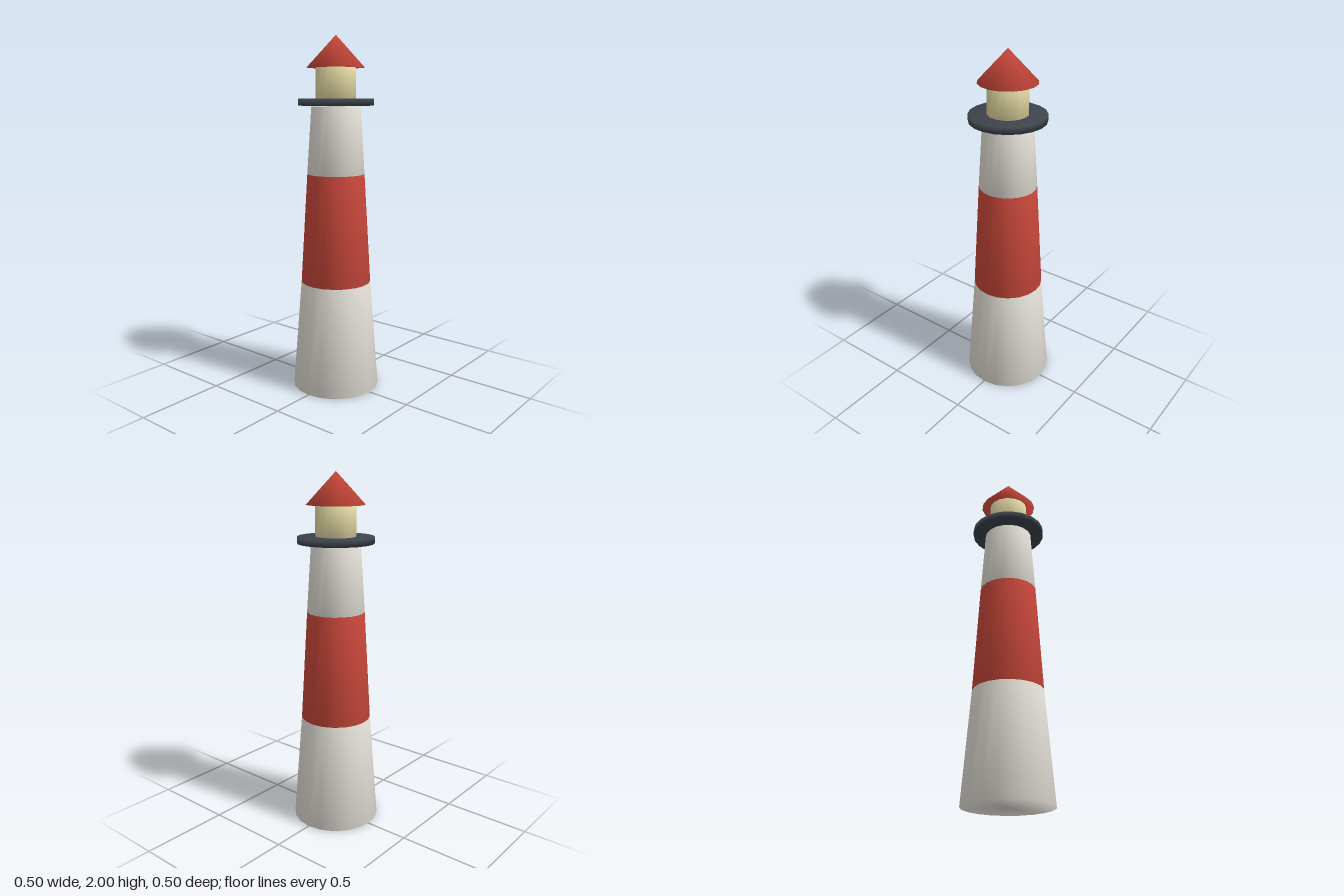
import * as THREE from 'three';
import { mergeVertices } from 'three/addons/utils/BufferGeometryUtils.js';

const material = (name, color) => {
  const m = new THREE.MeshStandardMaterial({ color });
  m.name = name;
  return m;
};

// Capped tapered drum with normals blended over its rims for a soft look
function softDrum(bottomRadius, topRadius, height, sides) {
  const geometry = new THREE.CylinderGeometry(topRadius, bottomRadius, height, sides);
  geometry.deleteAttribute('normal');
  geometry.deleteAttribute('uv');
  const welded = mergeVertices(geometry, 1e-4);
  welded.computeVertexNormals();
  return welded;
}

export function createModel() {
  const group = new THREE.Group();
  group.name = 'lighthouse';

  const white = material('warm white', 0xe4e0d8);
  const red = material('red', 0xc8473a);
  const dark = material('dark slate', 0x3d444b);
  const glow = material('pale yellow', 0xe3d9a3);

  // name, bottom y, top y, bottom radius, top radius, sides, material
  const parts = [
    ['towerBase', 0, 2.5, 1, 0.8, 20, white],
    ['towerStripe', 2.5, 5, 0.8, 0.65, 20, red],
    ['towerTop', 5, 6.5, 0.65, 0.55, 20, white],
    ['gallery', 6.525, 6.675, 0.85, 0.85, 20, dark],
    ['lanternRoom', 6.65, 7.35, 0.45, 0.45, 16, glow],
    ['roof', 7.35, 8.05, 0.65, 0, 16, red],
  ];
  const scale = 2 / 8.05; // overall height of 2

  for (const [name, y0, y1, r0, r1, sides, mat] of parts) {
    const mesh = new THREE.Mesh(
      softDrum(r0 * scale, r1 * scale, (y1 - y0) * scale, sides), mat);
    mesh.name = name;
    mesh.position.y = ((y0 + y1) / 2) * scale;
    group.add(mesh);
  }
  return group;
}
